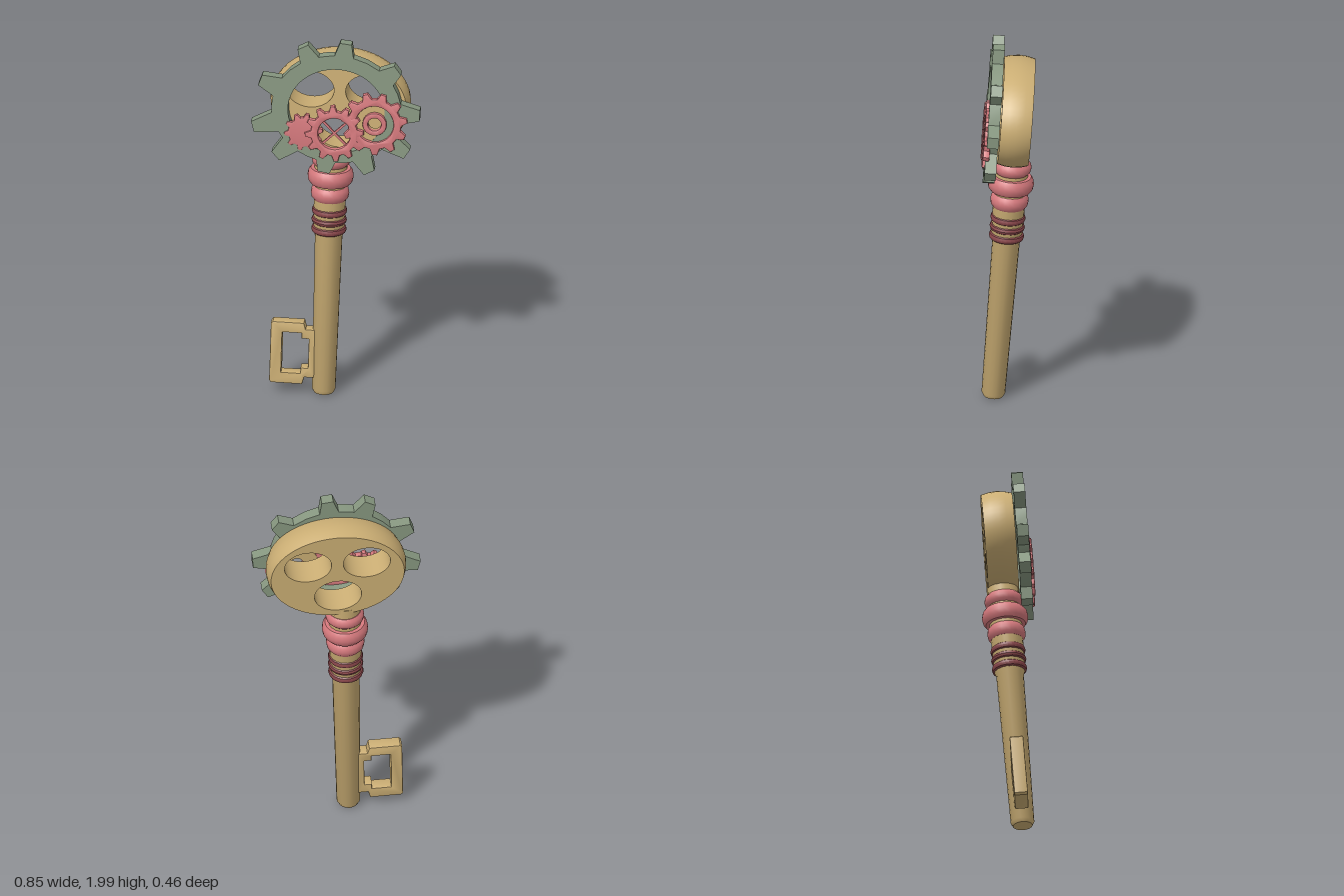
import * as THREE from 'three';
import { toCreasedNormals } from 'three/addons/utils/BufferGeometryUtils.js';

const material = (name, color) => {
  const m = new THREE.MeshStandardMaterial({ color });
  m.name = name;
  return m;
};

export function createModel() {
  const gold = material('gold', 0xcbae74);
  const green = material('grey green', 0x879780);
  const pink = material('rose', 0xd5797d);
  const wine = material('wine red', 0x8a474b);

  const model = new THREE.Group();
  model.name = 'key';
  const key = new THREE.Group();
  key.name = 'tiltedKey';
  key.position.set(-0.065, 0, 0.09);
  key.rotation.set(-0.08, 0.3, 0);
  model.add(key);

  const add = (name, geometry, mat, x = 0, y = 0, z = 0) => {
    const mesh = new THREE.Mesh(toCreasedNormals(geometry, 0.6), mat);
    mesh.name = name;
    mesh.position.set(x, y, z);
    key.add(mesh);
    return mesh;
  };
  const lathe = (points, sides = 24) =>
    new THREE.LatheGeometry(points.map(p => new THREE.Vector2(...p)), sides);
  const ellipse = (x, y, rx, ry) => new THREE.Path().absellipse(x, y, rx, ry, 0, Math.PI * 2);
  const extrude = (shape, depth, bevel = 0, steps = 1) => {
    const g = new THREE.ExtrudeGeometry(shape, {
      depth: depth - 2 * bevel, steps, curveSegments: 28, bevelEnabled: bevel > 0,
      bevelSize: bevel, bevelThickness: bevel, bevelOffset: -bevel, bevelSegments: 2,
    });
    return g.translate(0, 0, bevel);
  };

  // Toothed outline: tips are [degrees, radius], the root is an ellipse
  const toothed = (tips, rx, ry, baseHalf, tipHalf) => {
    const shape = new THREE.Shape();
    const pts = [];
    const root = a => {
      const k = 1 / Math.hypot(Math.cos(a) / rx, Math.sin(a) / ry);
      return [k * Math.cos(a), k * Math.sin(a)];
    };
    tips.forEach(([deg, r], i) => {
      const a = THREE.MathUtils.degToRad(deg);
      let next = THREE.MathUtils.degToRad(tips[(i + 1) % tips.length][0]);
      if (next < a) next += Math.PI * 2;
      const c = Math.cos(a), s = Math.sin(a), d = baseHalf / rx;
      pts.push(root(a - d));
      pts.push([r * c + tipHalf * s, r * s - tipHalf * c]);
      pts.push([r * c - tipHalf * s, r * s + tipHalf * c]);
      pts.push(root(a + d), root((a + next) / 2));
    });
    shape.setFromPoints(pts.map(p => new THREE.Vector2(...p)));
    return shape;
  };
  const evenTips = (n, r, start) => Array.from({ length: n }, (_, i) => [start + i * 360 / n, r]);

  // Tapered shaft
  add('shaft', lathe([[0, 0.005], [0.05, 0.005], [0.061, 0.025], [0.071, 0.87],
    [0.08, 0.89], [0.085, 1.24], [0.08, 1.38], [0, 1.38]], 18), gold);

  // Collars: [name, bottom, top, radius, material]
  [['thinCollar', 0.885, 0.928, 0.091, wine], ['thinCollar', 0.937, 0.978, 0.091, wine],
    ['thinCollar', 0.987, 1.03, 0.091, wine], ['wideCollar', 1.07, 1.145, 0.099, pink],
    ['wideCollar', 1.16, 1.243, 0.119, pink], ['upperCollar', 1.26, 1.325, 0.1, pink],
  ].forEach(([name, lo, hi, r, mat]) => {
    const h = hi - lo;
    add(name, lathe([[0.06, lo], [r - 0.016, lo], [r - 0.004, lo + h * 0.2], [r, lo + h * 0.5],
      [r - 0.004, hi - h * 0.2], [r - 0.016, hi], [0.06, hi]]), mat);
  });

  // Stepped open frame at the foot of the shaft
  const bit = new THREE.Shape([[-0.28, 0.06], [-0.27, 0.05], [-0.11, 0.05], [-0.1, 0.088], [-0.045, 0.088],
    [-0.045, 0.352], [-0.1, 0.352], [-0.11, 0.387], [-0.27, 0.387], [-0.28, 0.377]]
    .map(p => new THREE.Vector2(...p)));
  bit.holes.push(new THREE.Path([[-0.22, 0.11], [-0.22, 0.33], [-0.12, 0.33], [-0.12, 0.3], [-0.082, 0.3],
    [-0.082, 0.14], [-0.12, 0.14], [-0.12, 0.11]].map(p => new THREE.Vector2(...p))));
  add('bit', extrude(bit, 0.07, 0.006), gold, 0, 0, -0.035);

  // Oval drum with three holes and a slightly bulging rim
  const A = 0.345, B = 0.262, D = 0.16;
  const drumShape = new THREE.Shape().absellipse(0, 0, A, B, 0, Math.PI * 2);
  [[-0.152, 0.078], [0.152, 0.078], [0, -0.132]].forEach(([x, y]) =>
    drumShape.holes.push(ellipse(x, y, 0.122, 0.098)));
  const drum = extrude(drumShape, D, 0, 4);
  const p = drum.attributes.position;
  for (let i = 0; i < p.count; i++) {
    const x = p.getX(i), y = p.getY(i), t = p.getZ(i) / D * 2 - 1;
    if (Math.hypot(x / A, y / B) < 0.97) continue;
    const k = 1 + 0.05 * (1 - t * t);
    p.setXY(i, x * k, y * k);
  }
  add('drum', drum, gold, 0.04, 1.62, -0.075);

  // Large oval cog in front of the drum
  const bigTips = [[-164, 0.446], [-138, 0.412], [-99, 0.355], [-62, 0.382], [-31, 0.432],
    [-1, 0.43], [37, 0.388], [84, 0.365], [119, 0.378], [161, 0.42]];
  const big = toothed(bigTips, 0.335, 0.295, 0.056, 0.03);
  big.holes.push(ellipse(0, -0.01, 0.25, 0.23));
  add('largeCog', extrude(big, 0.06), green, 0.03, 1.62, 0.09);

  // Three small cogs
  const left = toothed(evenTips(10, 0.1, 8), 0.08, 0.08, 0.017, 0.009);
  add('leftCog', extrude(left, 0.03, 0.005), pink, -0.135, 1.485, 0.125);

  const middle = toothed(evenTips(12, 0.152, 5), 0.122, 0.122, 0.021, 0.011);
  middle.holes.push(ellipse(0, 0, 0.084, 0.084));
  add('middleCog', extrude(middle, 0.035, 0.007), pink, 0.024, 1.49, 0.132);
  [-1, 1].forEach(s => {
    const spoke = add('crossSpoke', new THREE.BoxGeometry(0.18, 0.011, 0.012), pink, 0.024, 1.49, 0.148);
    spoke.rotation.z = s * Math.PI / 4;
  });

  const right = toothed(evenTips(11, 0.17, 10), 0.138, 0.138, 0.026, 0.013);
  right.holes.push(ellipse(0, 0, 0.098, 0.098));
  add('rightCog', extrude(right, 0.035, 0.007), pink, 0.23, 1.555, 0.13);
  const annulus = (outer, inner) => {
    const s = new THREE.Shape().absellipse(0, 0, outer, outer, 0, Math.PI * 2);
    s.holes.push(ellipse(0, 0, inner, inner));
    return s;
  };
  add('rightCogPlate', extrude(annulus(0.11, 0.034), 0.02), gold, 0.23, 1.555, 0.125);
  add('rightCogHub', extrude(annulus(0.062, 0.034), 0.025, 0.005), pink, 0.23, 1.555, 0.14);

  return model;
}
